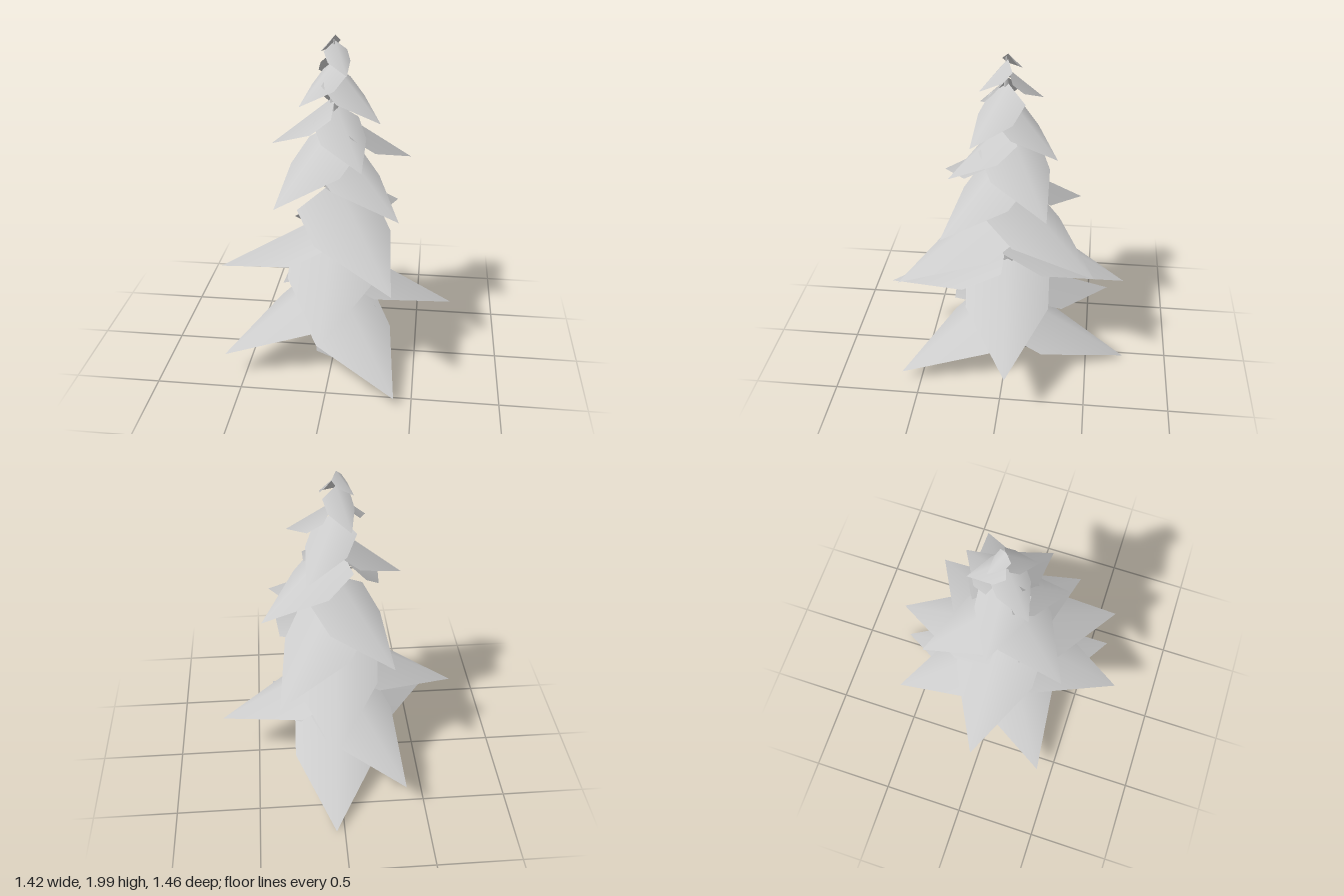
import * as THREE from 'three';

// Tip of every bough [x, y, z], spiralling up the trunk
const TIPS = [
  [0.05, 0.02, -0.73], [0.40, 0.07, 0.61], [-0.61, 0.16, 0.41], [-0.37, 0.24, -0.62],
  [0.71, 0.34, -0.05], [0, 0.46, 0.73], [-0.71, 0.53, 0], [0.05, 0.60, -0.70],
  [0.37, 0.72, 0.60], [0.35, 0.81, -0.52], [-0.30, 0.97, -0.42], [0.39, 1.04, 0.34],
  [-0.29, 1.12, 0.42], [0.43, 1.21, -0.25], [0.18, 1.31, 0.32], [-0.37, 1.35, 0],
  [0.18, 1.46, -0.29], [0.27, 1.55, 0.18], [-0.18, 1.63, 0.18], [-0.07, 1.72, -0.19],
  [0.08, 1.80, 0.15], [-0.09, 1.88, -0.07],
];

// Drooping folded leaf: a straight ridge from root to tip with two shoulders each side
function boughGeometry(length) {
  const drop = length * (1.05 - 0.65 * length);
  const half = length * (0.42 - 0.09 * length);
  const shoulder = length * 0.34;
  const points = [
    0, drop, 0,                     // root
    0, drop * 0.66, shoulder,       // ridge
    0, 0, length,                   // tip
  ];
  for (const side of [1, -1]) {
    points.push(side * half, drop * 0.67, length * 0.02);
    points.push(side * half * 0.97, drop * 0.35, shoulder);
  }
  const geometry = new THREE.BufferGeometry();
  geometry.setAttribute('position', new THREE.Float32BufferAttribute(points, 3));
  geometry.setIndex([
    0, 1, 4, 0, 4, 3, 1, 2, 4,
    0, 6, 1, 0, 5, 6, 1, 6, 2,
  ]);
  geometry.computeVertexNormals();
  return geometry;
}

export function createModel() {
  const tree = new THREE.Group();
  tree.name = 'firTree';
  const wood = new THREE.MeshStandardMaterial({ color: 0xcccccc });
  const foliage = new THREE.MeshStandardMaterial({ color: 0xcccccc, side: THREE.DoubleSide });

  // Tapered six-sided trunk
  const trunk = new THREE.Mesh(new THREE.CylinderGeometry(0.004, 0.122, 1.97, 6), wood);
  trunk.name = 'trunk';
  trunk.position.set(-0.005, 0.985, 0.01);
  tree.add(trunk);

  // Boughs turned to face their tips
  TIPS.forEach(([x, y, z], i) => {
    const bough = new THREE.Mesh(boughGeometry(Math.hypot(x, z)), foliage);
    bough.name = `bough${i + 1}`;
    bough.position.y = y;
    bough.rotation.y = Math.atan2(x, z);
    tree.add(bough);
  });
  return tree;
}
